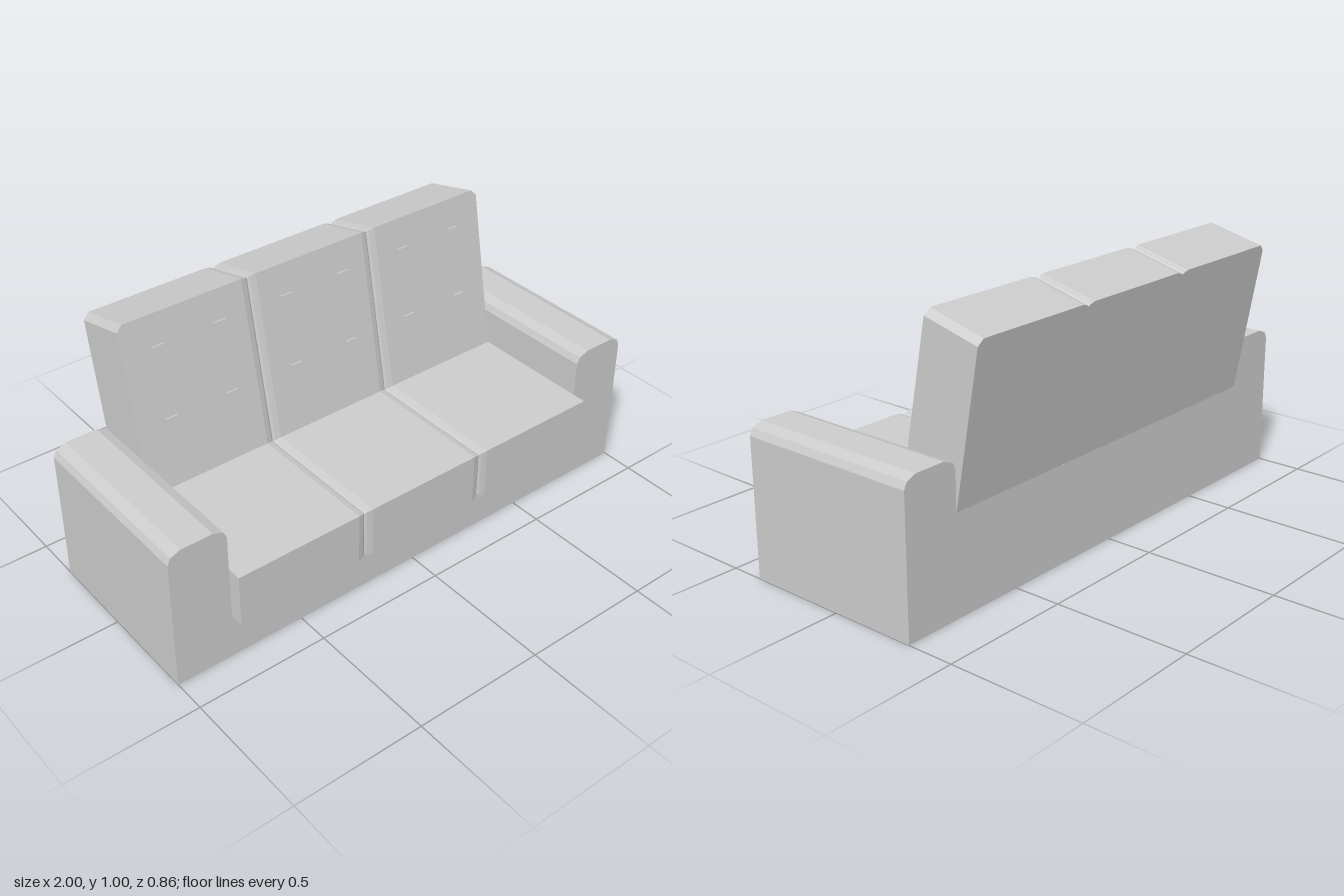
import * as THREE from 'three';

const material = new THREE.MeshStandardMaterial({ color: 0xcccccc, flatShading: true });

function addMesh(parent, name, geometry) {
  const mesh = new THREE.Mesh(geometry, material);
  mesh.name = name;
  parent.add(mesh);
  return mesh;
}

// Skins four-cornered sections along x. Corners are [y, z] in the order
// front bottom, front top, back top, back bottom.
function loftAlongX(sections) {
  const rings = sections.map(({ x, corners }) => corners.map(([y, z]) => [x, y, z]));
  const positions = [];
  const quad = (a, b, c, d) => positions.push(...a, ...b, ...c, ...a, ...c, ...d);
  for (let i = 0; i < rings.length - 1; i++) {
    const [p, q] = [rings[i], rings[i + 1]];
    for (let k = 0; k < 4; k++) {
      const n = (k + 1) % 4;
      quad(p[k], q[k], q[n], p[n]);
    }
  }
  const [first, last] = [rings[0], rings[rings.length - 1]];
  quad(first[0], first[1], first[2], first[3]);
  quad(last[3], last[2], last[1], last[0]);
  const geometry = new THREE.BufferGeometry();
  geometry.setAttribute('position', new THREE.Float32BufferAttribute(positions, 3));
  geometry.computeVertexNormals();
  return geometry;
}

const HALF = 0.779; // half width of the cushions
const SEAM = 0.26; // seams between the three cushions

// Soft grooves at both seams: [x, groove depth]
const seamStations = [-SEAM, SEAM].flatMap((s) =>
  [[-0.03, 0], [-0.008, 0.006], [0, 0.012], [0.008, 0.006], [0.03, 0]].map(([dx, d]) => [s + dx, d]));

// Slope of the backrest front
const SLOPE = 0.192;
const backFrontZ = (y) => -0.21 - (y - 0.995) * SLOPE;

export function createModel() {
  const sofa = new THREE.Group();
  sofa.name = 'sofa';

  // Frame: base and both rounded arms in one outline
  const arm = [[1, 0], [1, 0.51], [0.988, 0.535], [0.95, 0.55], [0.83, 0.55], [0.792, 0.535], [0.78, 0.51], [0.78, 0.36]];
  const outline = [...arm, ...arm.map(([x, y]) => [-x, y]).reverse()];
  const frame = new THREE.ExtrudeGeometry(
    new THREE.Shape(outline.map(([x, y]) => new THREE.Vector2(x, y))),
    { depth: 0.7, bevelEnabled: false });
  frame.translate(0, 0, -0.325);
  addMesh(sofa, 'frameWithArms', frame);

  // Seat cushions
  const seatStations = [[-HALF, 0], ...seamStations, [HALF, 0]];
  addMesh(sofa, 'seatCushions', loftAlongX(seatStations.map(([x, d]) => ({
    x,
    corners: [[0.175 + d, 0.428 - d], [0.375 - d, 0.428 - d], [0.375 - d, -0.325], [0.175 + d, -0.325]],
  }))));

  // Leaning back cushions, with the outer top corners cut off
  const backSections = [
    [-HALF, 0, 0.022], [-0.757, 0, 0],
    ...seamStations.map(([x, d]) => [x, d, d]),
    [0.757, 0, 0], [HALF, 0, 0.022],
  ].map(([x, groove, drop]) => ({
    x,
    corners: [
      [0.365, backFrontZ(0.365) - groove],
      [0.995 - drop, backFrontZ(0.995 - drop) - groove],
      [0.94 - drop, -0.427 + drop * 0.18],
      [0.365, -0.325],
    ],
  }));
  addMesh(sofa, 'backCushions', loftAlongX(backSections));

  // Square tufts, two rows of two on each back cushion
  const tufts = new THREE.Group();
  tufts.name = 'tufts';
  sofa.add(tufts);
  const tuftGeometry = new THREE.BoxGeometry(0.048, 0.056, 0.02);
  for (const cushionX of [-0.522, 0, 0.522]) {
    for (const side of [-1, 1]) {
      for (const y of [0.598, 0.858]) {
        const tuft = addMesh(tufts, 'tuft', tuftGeometry);
        tuft.position.set(cushionX + side * 0.123, y, backFrontZ(y));
        tuft.rotation.x = -Math.atan(SLOPE);
      }
    }
  }
  return sofa;
}
